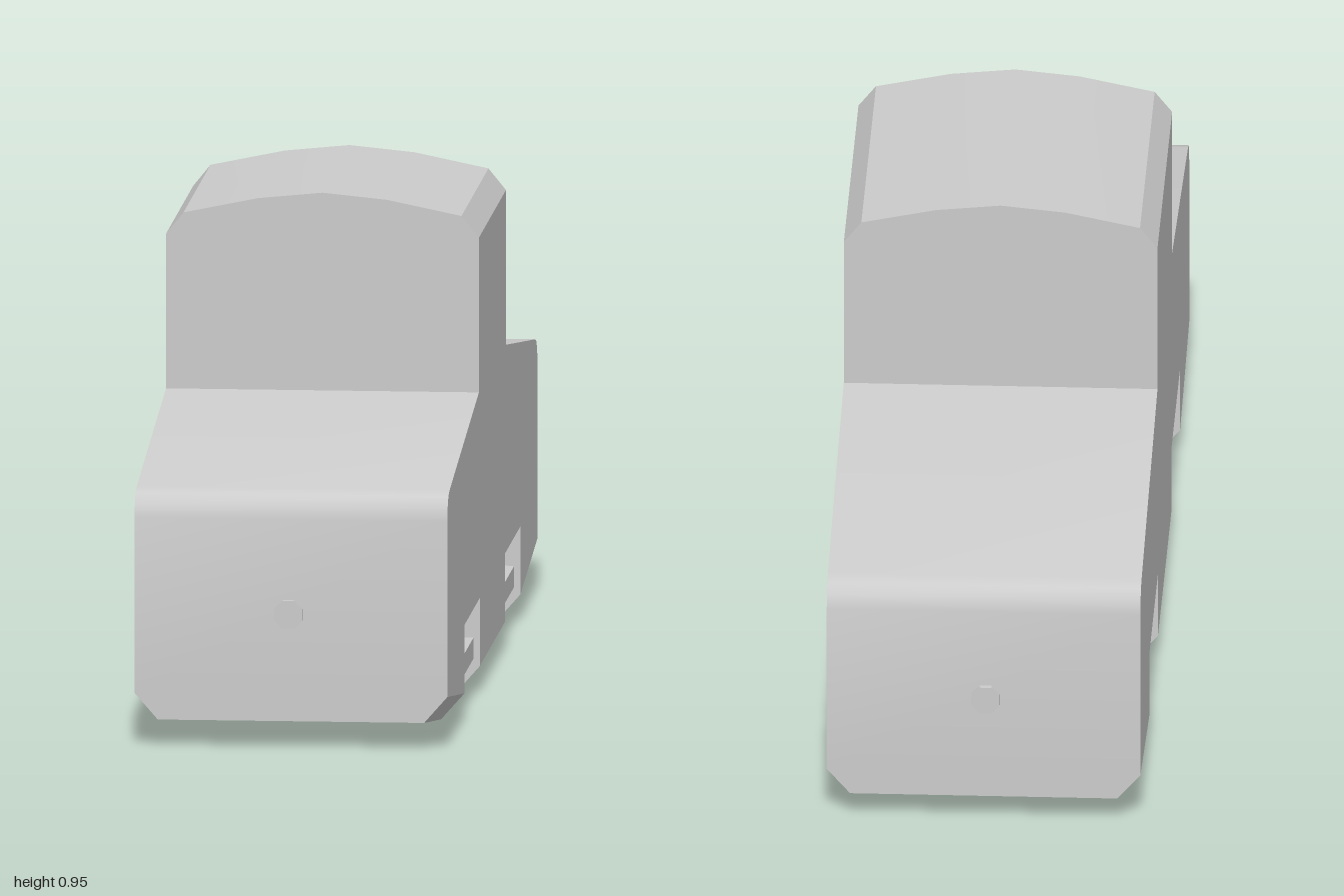
import * as THREE from 'three';
import { toCreasedNormals } from 'three/addons/utils/BufferGeometryUtils.js';
import { ConvexGeometry } from 'three/addons/geometries/ConvexGeometry.js';

const HALF = 0.296;   // half width of the body
const FLOOR = 0.252;  // half width of the chamfered underside
const CAB = 0.297;    // half length of the cab
const EAVE = 0.87;    // height where the roof starts

const material = new THREE.MeshStandardMaterial({ color: 0xcccccc });

function createPart(group, name, geometry, x = 0, y = 0, z = 0) {
  const mesh = new THREE.Mesh(geometry, material);
  mesh.name = name;
  mesh.position.set(x, y, z);
  group.add(mesh);
  return mesh;
}

function extrude(points, depth) {
  const shape = new THREE.Shape(points.map(([a, b]) => new THREE.Vector2(a, b)));
  const geometry = new THREE.ExtrudeGeometry(shape, { depth, bevelEnabled: false });
  geometry.translate(0, 0, -depth / 2);
  return toCreasedNormals(geometry, 0.6);
}

// Underside block tapering inwards: bottom heights y0 and y1 at z0 and z1
function skid(z0, y0, z1, y1) {
  const points = [];
  for (const [z, y] of [[z0, y0], [z1, y1]]) {
    for (const s of [-1, 1]) {
      points.push(new THREE.Vector3(s * FLOOR, y, z), new THREE.Vector3(s * HALF, y + 0.05, z));
    }
  }
  return new ConvexGeometry(points);
}

export function createModel() {
  const model = new THREE.Group();
  model.name = 'locomotive';

  // Side profile of one half, from the belly round the nose to the cab
  const half = [
    [0.278, 0.05], [0.278, 0.18], [0.618, 0.18], [0.618, 0.05], [0.99, 0.1],
    [0.99, 0.435], [0.983, 0.46], [0.967, 0.479], [0.94, 0.487],
    [CAB, 0.575], [CAB, EAVE],
  ];
  const mirrored = half.map(([z, y]) => [-z, y]).reverse();
  const body = extrude([...half, ...mirrored], HALF * 2);
  body.rotateY(-Math.PI / 2);
  createPart(model, 'body', body);

  // Arched cab roof
  const roof = [
    [-HALF, EAVE], [HALF, EAVE], [0.263, 0.911], [0.122, 0.94],
    [0, 0.952], [-0.122, 0.94], [-0.263, 0.911],
  ];
  createPart(model, 'roof', extrude(roof, CAB * 2));

  // Chamfered underside
  createPart(model, 'middleSkid', skid(-0.278, 0, 0.278, 0));
  createPart(model, 'frontSkid', skid(0.618, 0, 0.99, 0.05));
  createPart(model, 'backSkid', skid(-0.618, 0, -0.99, 0.05));

  // Rails bridging the wheel openings and a button on each end
  const rail = new THREE.BoxGeometry(0.032, 0.04, 0.344);
  const button = new THREE.CylinderGeometry(0.029, 0.029, 0.02, 8);
  button.rotateY(Math.PI / 8);
  button.rotateX(Math.PI / 2);
  const flatButton = toCreasedNormals(button, 0.3);
  for (const end of [1, -1]) {
    const place = end > 0 ? 'front' : 'back';
    for (const side of [1, -1]) {
      createPart(model, place + (side > 0 ? 'LeftRail' : 'RightRail'), rail, side * 0.268, 0.084, end * 0.448);
    }
    createPart(model, place + 'Button', flatButton, -0.004, 0.254, end * 0.99);
  }
  return model;
}
